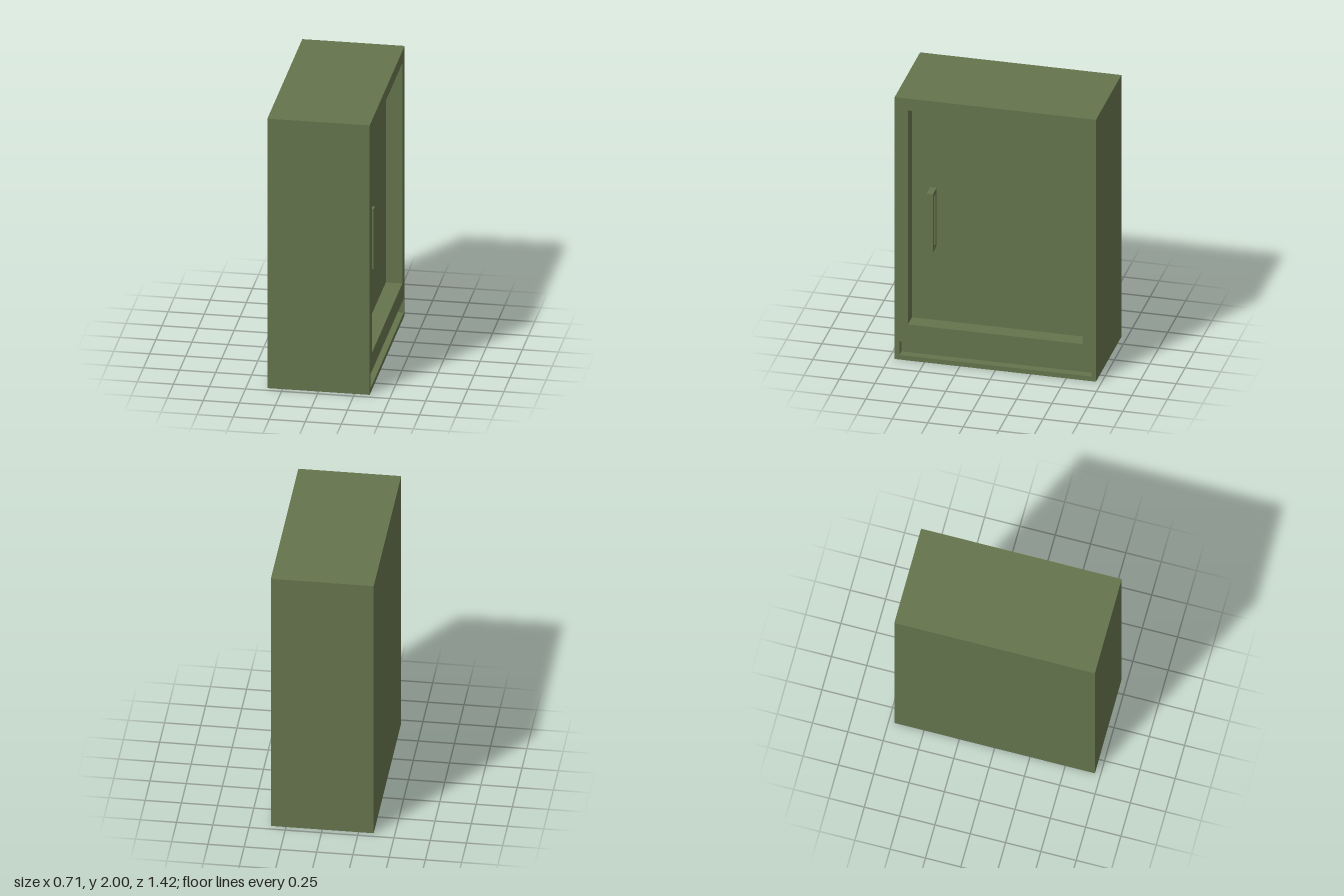
import * as THREE from 'three';

const W = 0.71, H = 2, D = 1.42; // overall x, y, z
const SIDE = W / 2; // x of the door side

// Rectangle outline, added to a shape or used as a hole
function rect(path, u0, v0, u1, v1) {
  path.moveTo(u0, v0);
  path.lineTo(u1, v0);
  path.lineTo(u1, v1);
  path.lineTo(u0, v1);
  path.closePath();
  return path;
}

// Box without its +x face; inward = true turns it into a recess lining
function openBox(depth, y0, y1, halfZ, inward) {
  const g = new THREE.BoxGeometry(depth, y1 - y0, halfZ * 2);
  const idx = Array.from(g.index.array).slice(6);
  if (inward) {
    idx.reverse();
    const n = g.attributes.normal;
    for (let i = 0; i < n.array.length; i++) n.array[i] *= -1;
  }
  g.setIndex(idx);
  g.clearGroups();
  g.translate(SIDE - depth / 2, (y0 + y1) / 2, 0);
  return g;
}

export function createModel() {
  const group = new THREE.Group();
  const olive = new THREE.MeshStandardMaterial({ color: 0x65744d });
  olive.name = 'olive green';

  const add = (name, geometry) => {
    const mesh = new THREE.Mesh(geometry, olive);
    mesh.name = name;
    group.add(mesh);
    return mesh;
  };

  // Cabinet shell, open on the door side
  add('cabinet', openBox(W, 0, H, D / 2, false));

  // Recesses in the door side: large door and low kick slot
  const recesses = [
    { name: 'doorRecess', depth: 0.115, y0: 0.275, y1: 1.91, halfZ: 0.617 },
    { name: 'kickSlot', depth: 0.057, y0: 0.035, y1: 0.14, halfZ: 0.677 },
  ];

  // Frame face around the recesses
  const face = rect(new THREE.Shape(), -D / 2, 0, D / 2, H);
  for (const r of recesses) {
    face.holes.push(rect(new THREE.Path(), -r.halfZ, r.y0, r.halfZ, r.y1));
    add(r.name, openBox(r.depth, r.y0, r.y1, r.halfZ, true));
  }
  const frame = new THREE.ShapeGeometry(face);
  frame.rotateY(Math.PI / 2);
  frame.translate(SIDE, 0, 0);
  add('doorFrame', frame);

  // Door handle: a slim upright loop standing on the door panel
  const x0 = 0.24, x1 = 0.345, y0 = 0.84, y1 = 1.285, t = 0.035;
  const loop = rect(new THREE.Shape(), x0, y0, x1, y1);
  loop.holes.push(rect(new THREE.Path(), x0 + t, y0 + t, x1 - t, y1 - t));
  const handle = new THREE.ExtrudeGeometry(loop, { depth: 0.045, bevelEnabled: false });
  handle.translate(0, 0, 0.443);
  add('handle', handle);

  return group;
}
